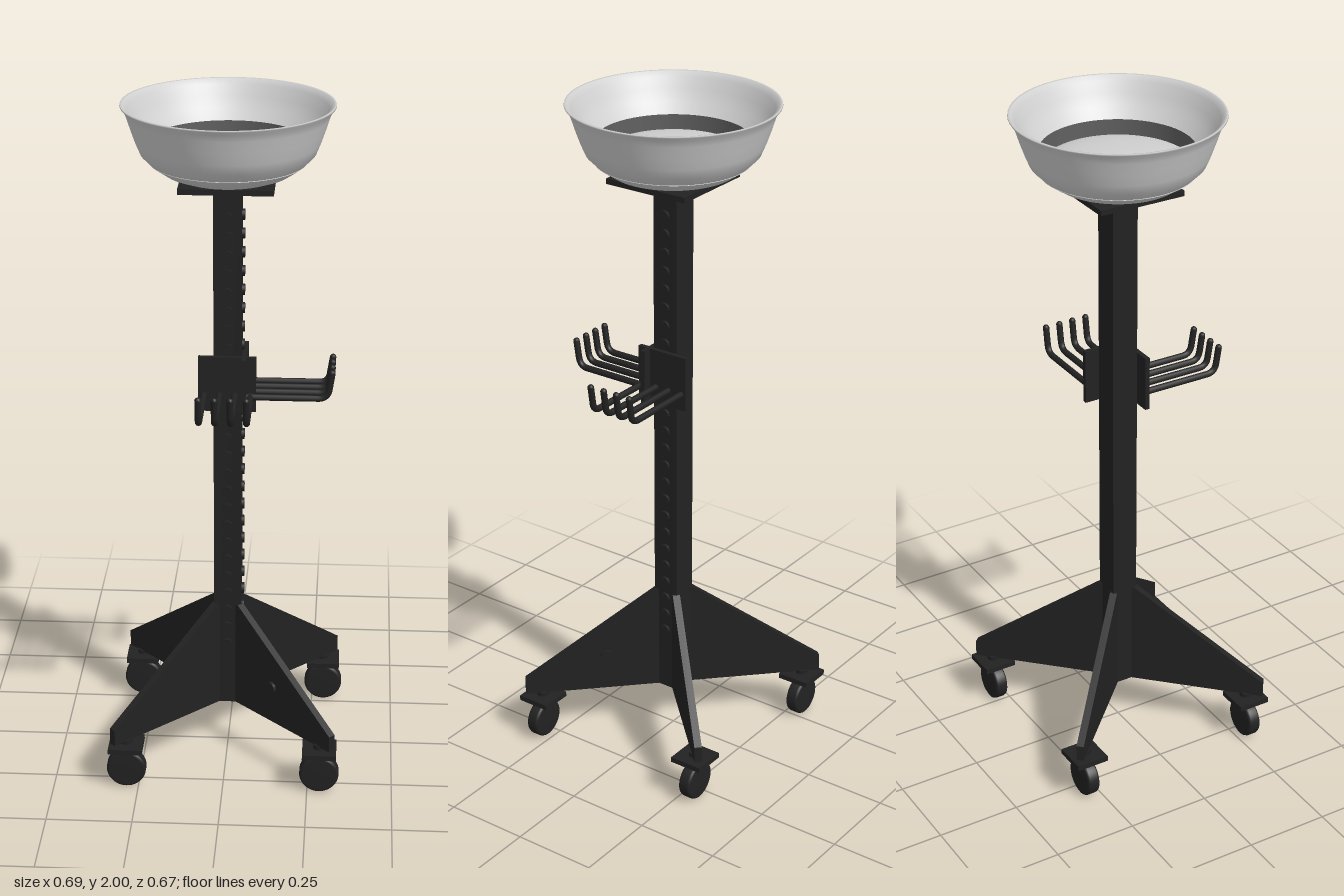
import * as THREE from 'three';

const black = new THREE.MeshStandardMaterial({ color: 0x222222 });
black.name = 'black metal';
const pale = new THREE.MeshStandardMaterial({ color: 0xd0d0d0 });
pale.name = 'pale grey';
const shade = new THREE.MeshStandardMaterial({ color: 0x606060, side: THREE.DoubleSide });
shade.name = 'dark grey';

function add(parent, name, geometry, material, x = 0, y = 0, z = 0) {
  const mesh = new THREE.Mesh(geometry, material);
  mesh.name = name;
  mesh.position.set(x, y, z);
  parent.add(mesh);
  return mesh;
}

const lathe = (pts) => new THREE.LatheGeometry(pts.map(([r, y]) => new THREE.Vector2(r, y)), 64);

function makeBowl() {
  const bowl = new THREE.Group();
  bowl.name = 'bowl';
  // outer skin, rolled rim and sloping inner wall
  add(bowl, 'bowlShell', lathe([
    [0, 1.79], [0.1, 1.79], [0.14, 1.793], [0.18, 1.808], [0.215, 1.832], [0.245, 1.862],
    [0.258, 1.893], [0.271, 1.93], [0.282, 1.965], [0.29, 1.985], [0.3, 1.996], [0.299, 2],
    [0.292, 1.999], [0.28, 1.985], [0.265, 1.955], [0.245, 1.924], [0.217, 1.894]
  ]), pale);
  add(bowl, 'innerWall', lathe([[0.218, 1.838], [0.218, 1.894]]), shade);
  // domed filling
  const dome = [];
  for (let i = 0; i <= 12; i++) {
    const a = (i / 12) * Math.PI / 2;
    dome.push([i === 12 ? 0 : 0.221 * Math.cos(a), 1.836 + 0.045 * Math.sin(a)]);
  }
  add(bowl, 'filling', lathe(dome), pale);
  return bowl;
}

// pegs, hook plate and four hooks, all facing +z
function makeRackSide() {
  const side = new THREE.Group();
  side.name = 'rackSide';
  const peg = new THREE.CylinderGeometry(0.016, 0.016, 0.014, 16).rotateX(Math.PI / 2);
  for (let y = 0.35; y < 1.7; y += 0.0555) add(side, 'peg', peg, black, 0, y, 0.041);

  add(side, 'hookPlate', new THREE.BoxGeometry(0.166, 0.165, 0.014), black, 0, 1.19, 0.049);

  const path = new THREE.CurvePath();
  const v = (y, z) => new THREE.Vector3(0, y, z);
  path.add(new THREE.LineCurve3(v(1.157, 0.045), v(1.157, 0.262)));
  path.add(new THREE.QuadraticBezierCurve3(v(1.157, 0.262), v(1.157, 0.289), v(1.184, 0.293)));
  path.add(new THREE.LineCurve3(v(1.184, 0.293), v(1.235, 0.301)));
  const rod = new THREE.TubeGeometry(path, 40, 0.0095, 10, false);
  const cap = new THREE.SphereGeometry(0.0095, 10, 8);
  for (const x of [-0.067, -0.022, 0.022, 0.067]) {
    add(side, 'hook', rod, black, x);
    add(side, 'hookTip', cap, black, x, 1.235, 0.301);
  }
  return side;
}

// triangular foot plate running outwards along +x
function makeFoot() {
  const shape = new THREE.Shape();
  shape.moveTo(0, 0.15);
  shape.lineTo(0.455, 0.15);
  shape.lineTo(0.455, 0.2);
  shape.lineTo(0.055, 0.48);
  shape.lineTo(0, 0.48);
  shape.closePath();
  return new THREE.ExtrudeGeometry(shape, { depth: 0.022, bevelEnabled: false }).translate(0, 0, -0.011);
}

function makeCaster(x, z) {
  const caster = new THREE.Group();
  caster.name = 'caster';
  caster.position.set(x, 0, z);
  add(caster, 'casterPlate', new THREE.BoxGeometry(0.1, 0.016, 0.1), black, 0, 0.132);
  add(caster, 'casterStem', new THREE.CylinderGeometry(0.018, 0.018, 0.06, 16), black, 0, 0.123);
  // wheel with rounded shoulders
  const wheel = lathe([[0, -0.02], [0.05, -0.02], [0.056, -0.017], [0.058, -0.012],
    [0.058, 0.012], [0.056, 0.017], [0.05, 0.02], [0, 0.02]]).rotateX(Math.PI / 2);
  add(caster, 'wheel', wheel, black, 0, 0.058);
  return caster;
}

export function createModel() {
  const model = new THREE.Group();
  model.name = 'bowlStand';

  model.add(makeBowl());
  add(model, 'topPlate', new THREE.BoxGeometry(0.266, 0.016, 0.266), black, 0, 1.782);
  add(model, 'post', new THREE.BoxGeometry(0.08, 1.63, 0.08), black, 0, 0.965);

  // racks on the front and on the left side
  const front = makeRackSide();
  const left = makeRackSide();
  left.rotation.y = Math.PI / 2;
  model.add(front, left);

  // four diagonal feet, each on a caster
  const foot = makeFoot();
  for (let i = 0; i < 4; i++) {
    const a = Math.PI / 4 + i * Math.PI / 2;
    add(model, 'foot', foot, black).rotation.y = -a;
    model.add(makeCaster(Math.sign(Math.cos(a)) * 0.285, Math.sign(Math.sin(a)) * 0.285));
  }

  // bolt through the front left foot
  const bolt = new THREE.CylinderGeometry(0.018, 0.018, 0.04, 16).rotateX(Math.PI / 2);
  add(model, 'bolt', bolt, black, 0.147, 0.265, 0.147).rotation.y = -Math.PI / 4;

  return model;
}
